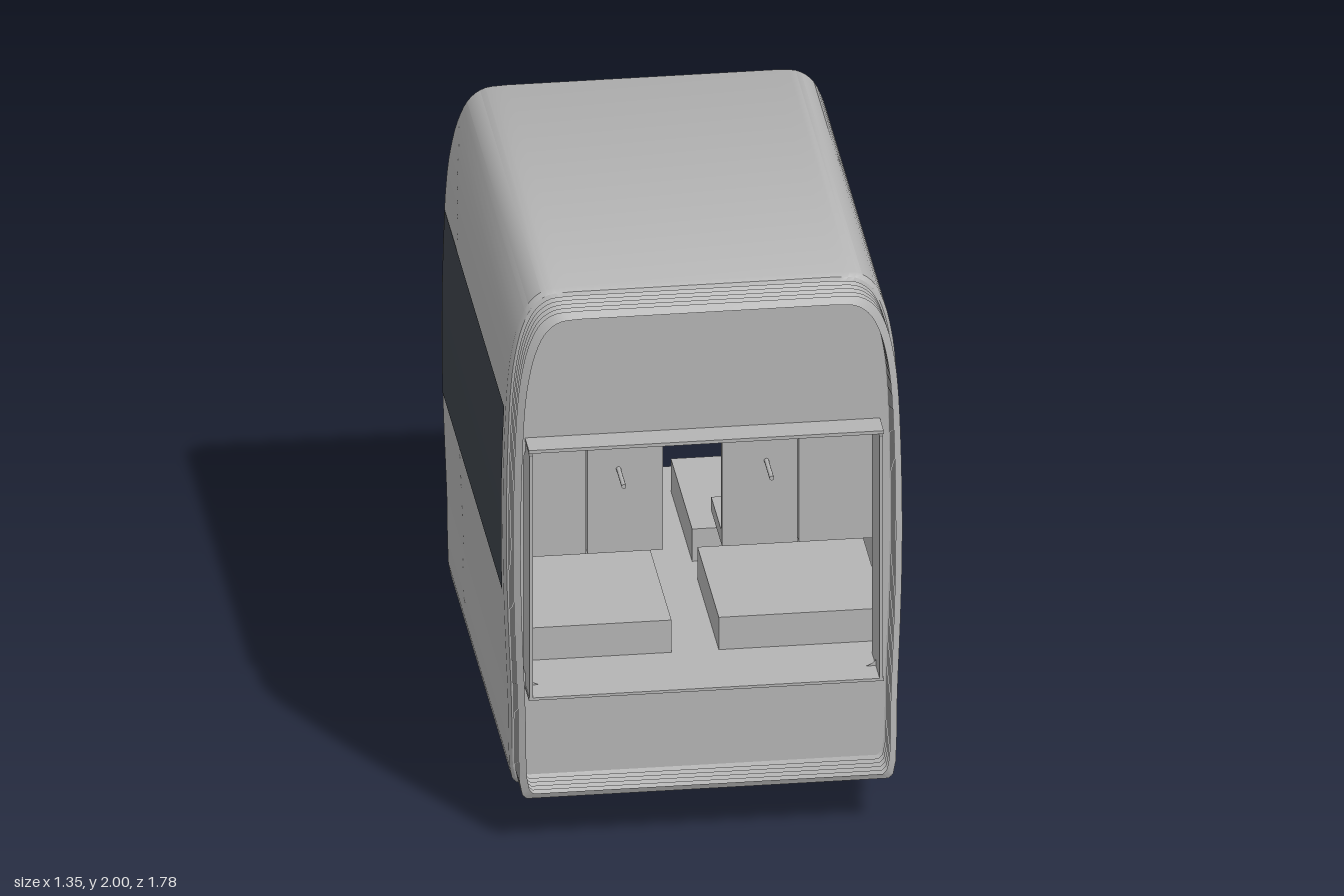
import * as THREE from 'three';
import { toCreasedNormals } from 'three/addons/utils/BufferGeometryUtils.js';

const paint = new THREE.MeshStandardMaterial({ color: 0xb4b4b4, side: THREE.DoubleSide });
paint.name = 'light grey';
const glass = new THREE.MeshStandardMaterial({ color: 0x3d434a, side: THREE.DoubleSide });
glass.name = 'dark glass';

// Right half of the body cross-section, from sill to roof
const side = new THREE.CatmullRomCurve3([
  [0.625, 0.17], [0.642, 0.19], [0.655, 0.5], [0.668, 0.85], [0.672, 1.1], [0.668, 1.4], [0.657, 1.65],
  [0.643, 1.77], [0.617, 1.88], [0.58, 1.955], [0.53, 1.992], [0.45, 2],
].map(([x, y]) => new THREE.Vector3(x, y, 0)), false, 'centripetal').getPoints(36);
const profile = [...side, ...side.slice().reverse().map(p => new THREE.Vector3(-p.x, p.y, 0))];
const MID = 1.085;

function inset(p, d) {
  return [p.x * (1 - d / 0.672), MID + (p.y - MID) * (1 - d / 0.915)];
}

function sideX(y) {
  const i = Math.max(1, side.findIndex(p => p.y >= y));
  const a = side[i - 1], b = side[i];
  return a.x + (b.x - a.x) * (y - a.y) / (b.y - a.y);
}

// Joins rows of points into a surface
function skin(rows, closed) {
  const n = rows[0].length, pos = rows.flat(2), idx = [];
  for (let r = 0; r < rows.length - 1; r++) {
    for (let i = 0; i < (closed ? n : n - 1); i++) {
      const j = (i + 1) % n, a = r * n, b = a + n;
      idx.push(a + i, a + j, b + j, a + i, b + j, b + i);
    }
  }
  const g = new THREE.BufferGeometry();
  g.setAttribute('position', new THREE.Float32BufferAttribute(pos, 3));
  g.setIndex(idx);
  return toCreasedNormals(g, 0.6);
}

const loft = rings => skin(rings.map(([z, d]) => profile.map(p => [...inset(p, d), z])), true);

export function createModel() {
  const model = new THREE.Group();
  model.name = 'railCarSection';

  function add(name, geo, mat = paint, x = 0, y = 0, z = 0, parent = model) {
    const m = new THREE.Mesh(geo, mat);
    m.name = name;
    m.position.set(x, y, z);
    parent.add(m);
    return m;
  }
  // Box given by its limits
  function box(name, x0, x1, y0, y1, z0, z1, mat = paint) {
    return add(name, new THREE.BoxGeometry(x1 - x0, y1 - y0, z1 - z0), mat,
      (x0 + x1) / 2, (y0 + y1) / 2, (z0 + z1) / 2);
  }
  // Cylinder lying along x
  const rollX = (name, r, len, x, y, z, sides = 24, r2 = r) =>
    add(name, new THREE.CylinderGeometry(r, r2, len, sides).rotateZ(-Math.PI / 2), paint, x, y, z);

  // Body shell with softened ends
  add('bodyShell', loft([[-0.89, 0.025], [-0.883, 0.01], [-0.865, 0], [0.715, 0], [0.733, 0.01], [0.74, 0.025]]));

  // End walls with a rounded opening
  function endWall(name, z) {
    const s = new THREE.Shape(profile.map(p => new THREE.Vector2(...inset(p, 0.025))));
    const w = 0.605, b = 0.535, t = 1.46, r = 0.09, h = new THREE.Path();
    h.moveTo(-w + r, b);
    h.lineTo(w - r, b);
    h.quadraticCurveTo(w, b, w, b + r);
    h.lineTo(w, t - r);
    h.quadraticCurveTo(w, t, w - r, t);
    h.lineTo(-w + r, t);
    h.quadraticCurveTo(-w, t, -w, t - r);
    h.lineTo(-w, b + r);
    h.quadraticCurveTo(-w, b, -w + r, b);
    s.holes.push(h);
    add(name, new THREE.ShapeGeometry(s, 8), paint, 0, 0, z);
  }
  endWall('backWall', -0.89);
  endWall('frontWall', 0.74);

  // Pleated gangway bellows
  const pleats = [];
  for (let i = 0; i <= 10; i++) pleats.push([0.74 + i * 0.015, i % 2 ? 0.014 : 0.038]);
  add('bellows', loft(pleats));

  // Gangway lining
  box('gangwayTop', -0.6, 0.6, 1.448, 1.46, 0.64, 0.84);
  box('gangwayFloor', -0.6, 0.6, 0.53, 0.54, 0.64, 0.84);

  // Interior floor
  box('floor', -0.645, 0.645, 0.52, 0.54, -0.88, 0.735);

  for (const s of [-1, 1]) {
    // Side glazing, seen from outside and inside
    for (const off of [0.003, -0.004]) {
      const rows = [-0.84, 0.7].map(z => Array.from({ length: 13 }, (_, i) => {
        const y = 0.88 + i * 0.68 / 12;
        return [s * (sideX(y) + off), y, z];
      }));
      add('sideWindow', skin(s > 0 ? rows : rows.reverse(), false), glass);
    }
    box('gangwaySide', s * 0.592 - 0.006, s * 0.592 + 0.006, 0.54, 1.44, 0.64, 0.84);

    // Raised platforms and seat rows
    for (const [z0, z1] of [[0, 0.55], [-0.69, -0.14]]) {
      const a = s * 0.08, b = s * 0.64;
      box('platform', Math.min(a, b), Math.max(a, b), 0.54, 0.66, z0, z1);
    }
    for (const zBack of [0.45, -0.36]) {
      for (const x of [0.2275, 0.4875]) {
        const c = s * x, h = 0.1275;
        box('seatBack', c - h, c + h, 0.89, 1.31, zBack, zBack + 0.03);
        box('seatCushion', c - h, c + h, 0.89, 0.94, zBack - 0.25, zBack);
      }
    }
    for (const [z0, z1] of [[0.45, 0.62], [-0.72, -0.34]]) {
      add('grabRail', new THREE.CylinderGeometry(0.008, 0.008, z1 - z0, 10).rotateX(Math.PI / 2),
        paint, s * 0.25, 1.2, (z0 + z1) / 2);
    }

    // Wheels, axle boxes and brake discs
    for (const z of [0.46, -0.6]) {
      const tread = rollX('wheel', 0.168, 0.055, s * 0.453, 0.185, z, 24, 0.176);
      if (s < 0) tread.rotation.y = Math.PI;
      rollX('wheelFlange', 0.183, 0.016, s * 0.42, 0.185, z);
      box('axleBox', s * 0.51 - 0.03, s * 0.51 + 0.03, 0.14, 0.18, z - 0.075, z + 0.075);
      rollX('brakeDisc', 0.105, 0.03, s * 0.28, 0.175, z);
    }
  }

  // Axles and motors
  for (const z of [0.46, -0.6]) rollX('axle', 0.014, 0.9, 0, 0.172, z, 12);
  for (const z of [0.2, -0.33]) rollX('motor', 0.08, 0.42, -0.035, 0.188, z, 10);

  // Hanging display
  box('displayCase', -0.18, 0.18, 1.28, 1.41, -0.1, -0.06);
  box('displayScreen', -0.163, 0.163, 1.294, 1.396, -0.06, -0.056, glass);
  add('displayHanger', new THREE.CylinderGeometry(0.008, 0.008, 0.59, 10), paint, 0, 1.7, -0.08);

  return model;
}
